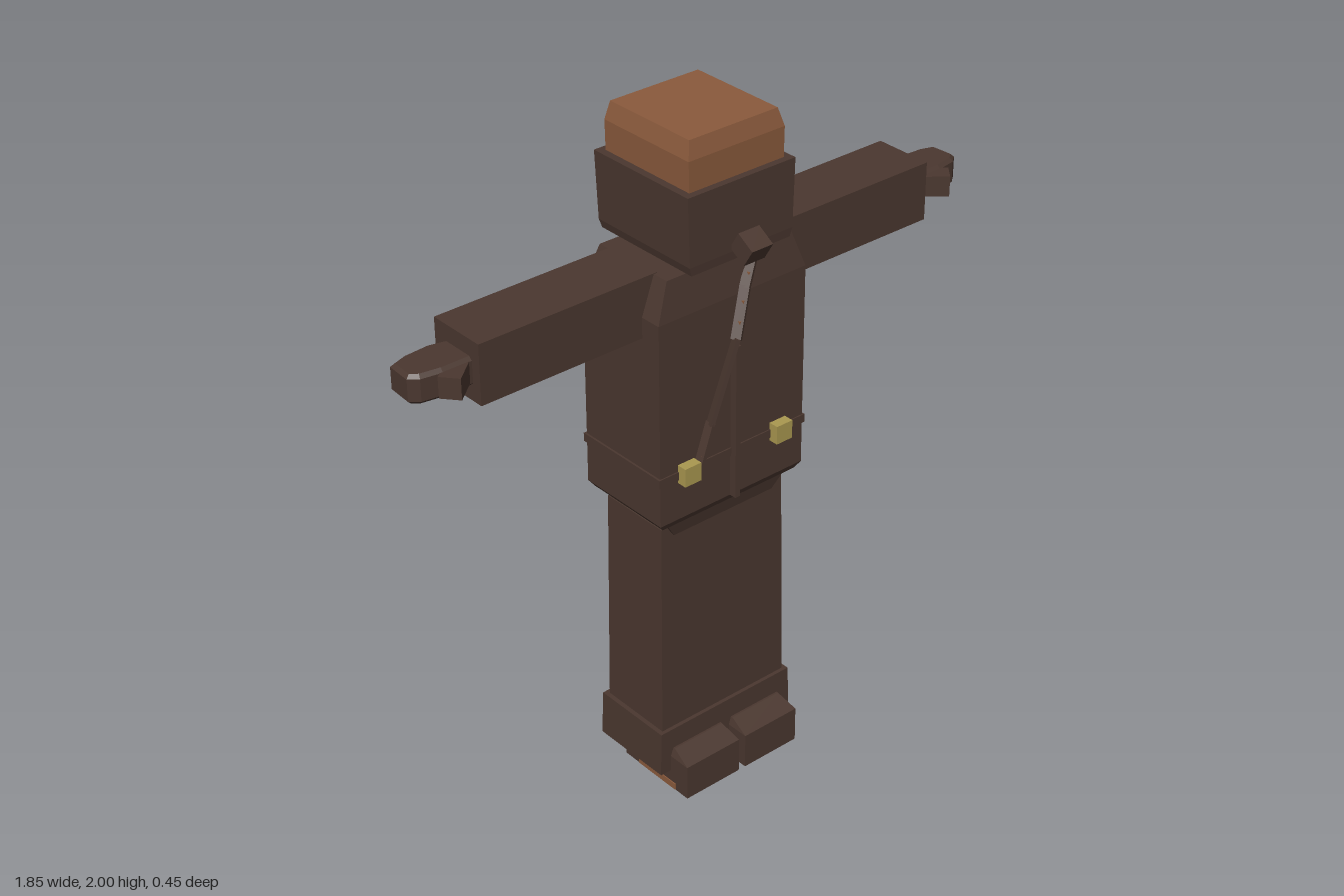
import * as THREE from 'three';

const mat = (name, color) => {
  const m = new THREE.MeshStandardMaterial({ color });
  m.name = name;
  return m;
};

// Closed solid through rectangular rings [y, x0, x1, z0, z1], listed bottom to top
function loft(rings) {
  const pos = [];
  const corners = ([y, x0, x1, z0, z1]) => [[x0, y, z1], [x1, y, z1], [x1, y, z0], [x0, y, z0]];
  const quad = (a, b, c, d) => pos.push(...a, ...b, ...c, ...a, ...c, ...d);
  const loops = rings.map(corners);
  for (let i = 0; i < loops.length - 1; i++) {
    for (let k = 0; k < 4; k++) {
      const n = (k + 1) % 4;
      quad(loops[i][k], loops[i][n], loops[i + 1][n], loops[i + 1][k]);
    }
  }
  const [a, b, c, d] = loops[0];
  quad(d, c, b, a);
  quad(...loops[loops.length - 1]);
  const g = new THREE.BufferGeometry();
  g.setAttribute('position', new THREE.Float32BufferAttribute(pos, 3));
  g.computeVertexNormals();
  return g;
}

export function createModel() {
  const root = new THREE.Group();
  const cloth = mat('dark brown cloth', 0x4a372f);
  const skin = mat('warm brown', 0x8a5a3c);
  const brass = mat('dull brass', 0xaa9850);

  const add = (name, geometry, material, parent = root) => {
    const m = new THREE.Mesh(geometry, material);
    m.name = name;
    parent.add(m);
    return m;
  };
  const box = (name, material, x0, x1, y0, y1, z0, z1, parent = root) => {
    const m = add(name, new THREE.BoxGeometry(x1 - x0, y1 - y0, z1 - z0), material, parent);
    m.position.set((x0 + x1) / 2, (y0 + y1) / 2, (z0 + z1) / 2);
    return m;
  };

  // Head, face covering and mouthpiece
  add('head', loft([
    [1.80, -0.155, 0.155, -0.20, 0.125],
    [1.95, -0.158, 0.158, -0.20, 0.125],
    [2.00, -0.145, 0.145, -0.192, 0.112],
  ]), skin);
  add('faceCovering', loft([
    [1.645, -0.165, 0.165, -0.21, 0.143],
    [1.67, -0.172, 0.172, -0.215, 0.145],
    [1.865, -0.178, 0.178, -0.22, 0.145],
  ]), cloth);
  box('neck', cloth, -0.08, 0.08, 1.60, 1.66, -0.11, 0.04);
  const mouthpiece = box('mouthpiece', cloth, -0.035, 0.035, 1.66, 1.72, 0.15, 0.212);
  mouthpiece.rotation.x = 0.55;

  // Coat with chamfered shoulders and tucked hem
  add('coat', loft([
    [0.895, -0.235, 0.235, -0.18, 0.105],
    [0.915, -0.25, 0.25, -0.19, 0.115],
    [1.52, -0.25, 0.25, -0.19, 0.115],
    [1.63, -0.21, 0.21, -0.165, 0.10],
  ]), cloth);
  box('belt', cloth, -0.256, 0.256, 1.04, 1.065, -0.196, 0.119);
  box('coatPlacket', cloth, -0.008, 0.008, 0.915, 1.38, 0.11, 0.137);
  add('waist', loft([
    [0.84, -0.175, 0.175, -0.15, 0.08],
    [0.90, -0.215, 0.215, -0.17, 0.095],
  ]), cloth);

  // Pouches on the belt
  box('frontPouchRight', brass, -0.19, -0.135, 1.03, 1.085, 0.115, 0.145);
  box('frontPouchLeft', brass, 0.132, 0.187, 1.03, 1.085, 0.115, 0.145);
  box('backPouch', brass, 0.07, 0.14, 0.95, 1.04, -0.223, -0.185);

  // Chest strap running over the shoulder, in straight pieces
  const path = [
    [-0.135, 1.05, 0.13], [-0.09, 1.18, 0.13], [-0.025, 1.42, 0.155],
    [0.03, 1.54, 0.125], [0.085, 1.635, 0.10], [0.15, 1.637, 0.0],
  ].map((p) => new THREE.Vector3(...p));
  for (let i = 0; i < path.length - 1; i++) {
    const a = path[i], b = path[i + 1];
    const piece = add('strapPiece', new THREE.BoxGeometry(0.028, 0.012, a.distanceTo(b) + 0.006), cloth);
    piece.position.lerpVectors(a, b, 0.5);
    piece.lookAt(b);
  }
  // Small studs on the strap
  for (const t of [0.3, 0.7]) {
    for (let i = 0; i < 4; i++) {
      const stud = add('strapStud', new THREE.BoxGeometry(0.008, 0.014, 0.008), skin);
      stud.position.lerpVectors(path[i], path[i + 1], t);
      stud.position.z += 0.004;
    }
  }

  // Arms and hands; the right side is the left mirrored by its x positions
  for (const s of [1, -1]) {
    const side = s > 0 ? 'left' : 'right';
    const arm = new THREE.Group();
    arm.name = side + 'Arm';
    root.add(arm);
    const span = (a, b) => (s > 0 ? [a, b] : [-b, -a]);
    box('sleeve', cloth, ...span(0.2, 0.755), 1.46, 1.632, -0.13, 0.05, arm);

    // Palm and fingers: outline seen from above, extruded upward
    const outline = [[0.74, -0.09], [0.80, -0.105], [0.875, -0.10], [0.92, -0.085],
      [0.925, -0.01], [0.90, 0.01], [0.84, 0.02], [0.74, 0.02]];
    const shape = new THREE.Shape(outline.map(([x, z]) => new THREE.Vector2(s * x, -z)));
    const hand = new THREE.ExtrudeGeometry(shape, {
      depth: 0.062, bevelEnabled: true, bevelSize: 0.01, bevelThickness: 0.01,
      bevelOffset: -0.01, bevelSegments: 1,
    });
    hand.rotateX(-Math.PI / 2);
    add('hand', hand, cloth, arm).position.y = 1.512;
    const thumb = box('thumb', cloth, ...span(0.765, 0.855), 1.515, 1.575, -0.001, 0.056, arm);
    thumb.rotation.y = -s * 0.7;
    thumb.position.z = 0.022;
  }

  // Trousers and cuffs
  add('trousers', loft([
    [0.15, -0.225, 0.225, -0.152, 0.082],
    [0.87, -0.215, 0.215, -0.15, 0.075],
  ]), cloth);
  add('cuffs', loft([
    [0.06, -0.242, 0.242, -0.168, 0.095],
    [0.20, -0.238, 0.238, -0.165, 0.093],
  ]), cloth);

  // Shoes with a brown edge along the outer sole
  for (const s of [1, -1]) {
    const ring = (y, a, b, z0, z1) => (s > 0 ? [y, a, b, z0, z1] : [y, -b, -a, z0, z1]);
    const side = s > 0 ? 'left' : 'right';
    add(side + 'Shoe', loft([
      ring(0, 0.012, 0.205, -0.105, 0.165),
      ring(0.11, 0.012, 0.205, -0.105, 0.165),
      ring(0.135, 0.02, 0.195, -0.10, 0.10),
    ]), cloth);
    add(side + 'SoleEdge', loft([
      ring(0.002, 0.2, 0.208, -0.045, 0.115),
      ring(0.022, 0.2, 0.208, -0.045, 0.115),
    ]), skin);
  }
  return root;
}
